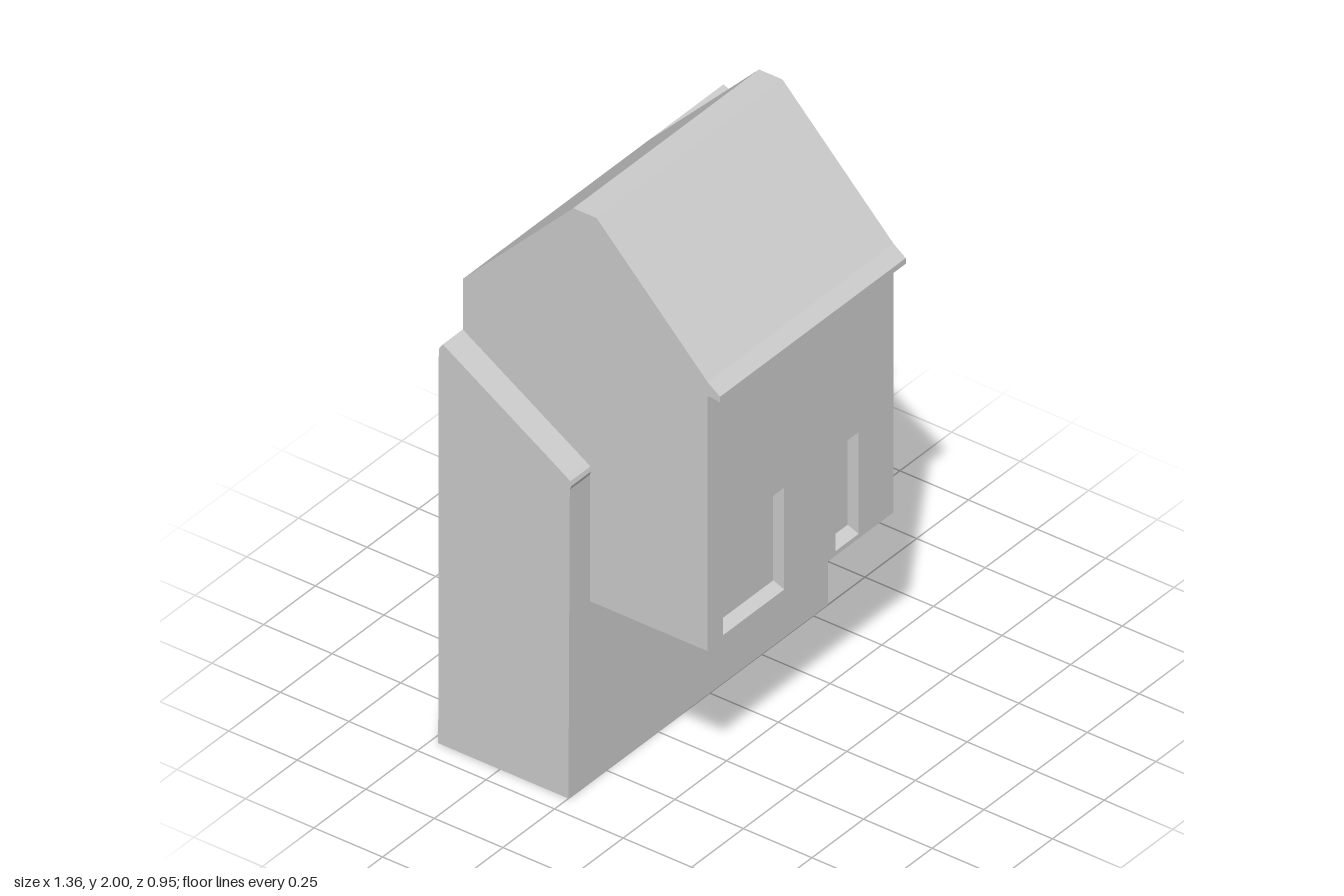
import * as THREE from 'three';

const material = new THREE.MeshStandardMaterial({ color: 0xcccccc, flatShading: true, side: THREE.DoubleSide });

function polygon(points) {
  return new THREE.Shape(points.map(([x, y]) => new THREE.Vector2(x, y)));
}

// Side profile given as [z, y] pairs, stretched along x from x0 to x1
function sideExtrude(name, profile, x0, x1) {
  const shape = polygon(profile.map(([z, y]) => [-z, y]));
  const geometry = new THREE.ExtrudeGeometry(shape, { depth: x1 - x0, bevelEnabled: false });
  geometry.rotateY(Math.PI / 2).translate(x0, 0, 0);
  const mesh = new THREE.Mesh(geometry, material);
  mesh.name = name;
  return mesh;
}

function rectangle(x0, x1, y0, y1) {
  return [[x0, y0], [x1, y0], [x1, y1], [x0, y1]];
}

export function createModel() {
  const group = new THREE.Group();
  group.name = 'house';

  // Upper house: gabled body with a flat ridge and a flared front eave
  group.add(sideExtrude('upperHouse', [
    [-0.463, 0.64], [0.39, 0.64], [0.39, 1.535], [0.44, 1.54], [0.475, 1.535],
    [0.475, 1.555], [0.43, 1.588], [0.025, 2], [-0.06, 2], [-0.463, 1.585],
  ], -0.58, 0.318));

  // Front wall with two recessed windows
  const wall = polygon(rectangle(-0.58, 0.318, 0.64, 1.538));
  const windows = [[-0.505, -0.21], [0.037, 0.15]];
  for (const [x0, x1] of windows) {
    wall.holes.push(polygon(rectangle(x0, x1, 0.655, 1.015)));
    // Sill sloping outwards
    group.add(sideExtrude('windowSill', [[0.39, 0.65], [0.43, 0.65], [0.43, 0.656], [0.39, 0.672]], x0, x1));
  }
  const wallGeometry = new THREE.ExtrudeGeometry(wall, { depth: 0.04, bevelEnabled: false });
  const frontWall = new THREE.Mesh(wallGeometry.translate(0, 0, 0.39), material);
  frontWall.name = 'frontWall';
  group.add(frontWall);

  // Side wing with a lean-to roof
  group.add(sideExtrude('sideWing', [
    [-0.463, 0.64], [-0.012, 0.64], [-0.012, 1.33], [0.025, 1.34],
    [0.028, 1.36], [-0.012, 1.375], [-0.463, 1.585],
  ], 0.318, 0.68));

  // Lower block: sloping roof, small eave and bevelled back edge
  const lower = sideExtrude('lowerBlock', [
    [-0.475, 0], [0, 0], [0, 1.085], [0.006, 1.1], [0.002, 1.115],
    [-0.012, 1.125], [-0.463, 1.407], [-0.478, 1.385],
  ], -0.683, 0.572);
  // Walls lean in very slightly towards the top
  const position = lower.geometry.attributes.position;
  for (let i = 0; i < position.count; i++) {
    const lean = 0.006 * Math.min(position.getY(i), 1.1);
    position.setX(i, position.getX(i) - Math.sign(position.getX(i)) * lean);
  }
  lower.geometry.computeVertexNormals();
  group.add(lower);

  // Shallow curved bracket under the overhang
  const curve = new THREE.Shape();
  curve.moveTo(-0.3, 0.64).lineTo(-0.3, 0.63);
  curve.quadraticCurveTo(-0.057, 0.614, 0.185, 0.63);
  curve.lineTo(0.185, 0.64);
  const bracketGeometry = new THREE.ExtrudeGeometry(curve, { depth: 0.055, bevelEnabled: false, curveSegments: 10 });
  const bracket = new THREE.Mesh(bracketGeometry, material);
  bracket.name = 'overhangBracket';
  group.add(bracket);

  return group;
}
